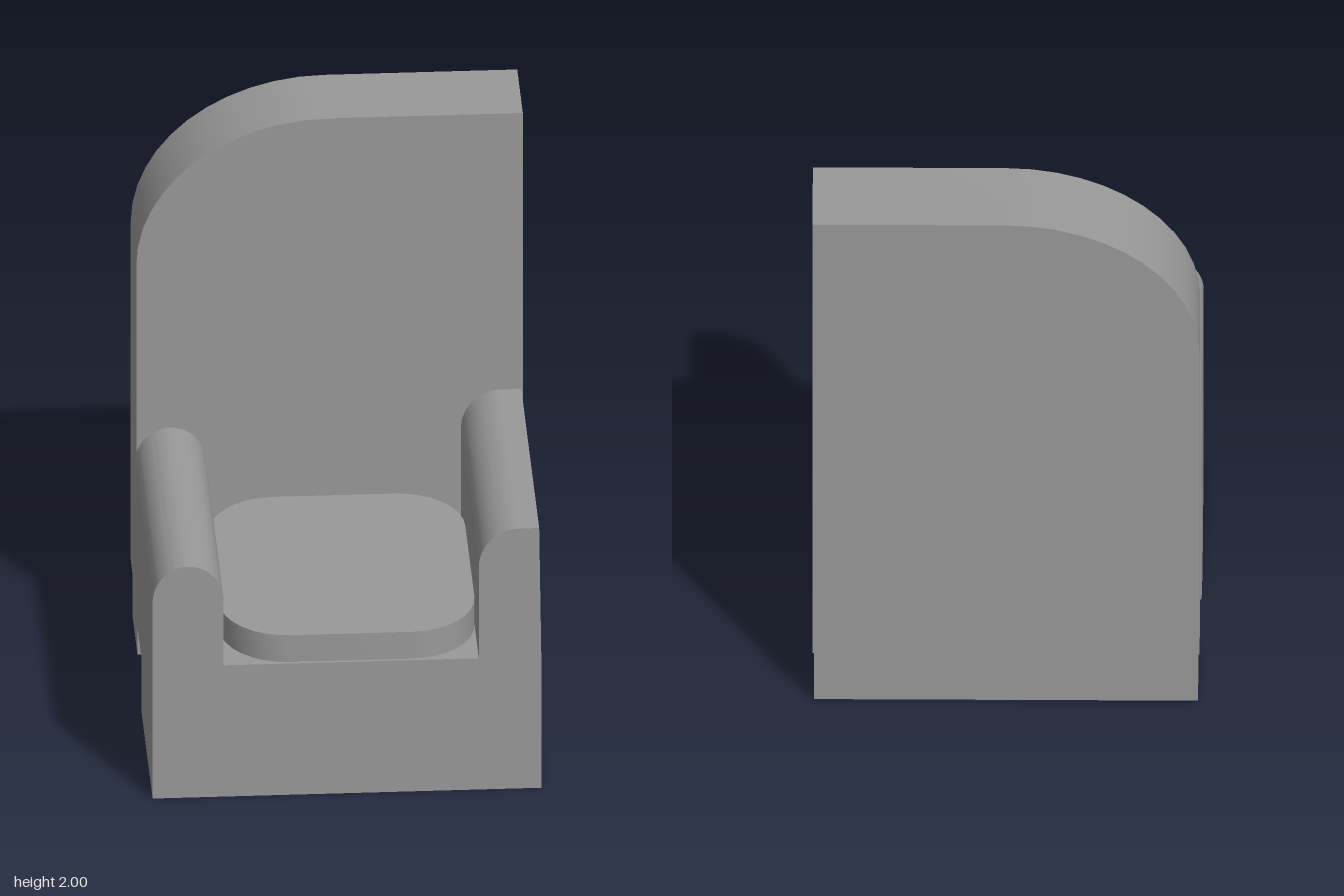
import * as THREE from 'three';
import { toCreasedNormals } from 'three/addons/utils/BufferGeometryUtils.js';

export function createModel() {
  const group = new THREE.Group();
  const grey = new THREE.MeshStandardMaterial({ color: 0x999999 });
  grey.name = 'grey';

  const add = (name, geometry) => {
    const mesh = new THREE.Mesh(geometry, grey);
    mesh.name = name;
    group.add(mesh);
    return mesh;
  };

  // Box given by its limits on each axis
  const box = (name, x0, x1, y0, y1, z0, z1) =>
    add(name, new THREE.BoxGeometry(x1 - x0, y1 - y0, z1 - z0))
      .position.set((x0 + x1) / 2, (y0 + y1) / 2, (z0 + z1) / 2);

  // Front profile pushed from z0 to z1, smooth on curves and sharp at corners
  const extrude = (name, shape, z0, z1, curveSegments) => {
    const geometry = new THREE.ExtrudeGeometry(shape, { depth: z1 - z0, bevelEnabled: false, curveSegments });
    geometry.translate(0, 0, z0);
    return add(name, toCreasedNormals(geometry, 0.6));
  };

  // Tall backrest with one rounded shoulder
  const back = new THREE.Shape();
  back.moveTo(-0.64, 0.21);
  back.lineTo(0.64, 0.21);
  back.lineTo(0.64, 2);
  back.lineTo(0, 2);
  back.absellipse(0, 1.47, 0.64, 0.53, Math.PI / 2, Math.PI, false);
  extrude('backrest', back, -0.65, -0.34, 6);

  // Seat base
  box('seatBase', -0.645, 0.642, 0.2, 0.49, -0.34, 0.65);

  // Low arm with a fully rounded top
  const lowArm = new THREE.Shape();
  lowArm.moveTo(-0.645, 0.49);
  lowArm.lineTo(-0.41, 0.49);
  lowArm.lineTo(-0.41, 0.73);
  lowArm.absellipse(-0.5275, 0.73, 0.1175, 0.132, 0, Math.PI, false);
  extrude('rightArm', lowArm, -0.34, 0.65, 20);

  // Taller arm, rounded only on its inner edge
  const tallArm = new THREE.Shape();
  tallArm.moveTo(0.435, 0.49);
  tallArm.lineTo(0.642, 0.49);
  tallArm.lineTo(0.635, 0.97);
  tallArm.lineTo(0.57, 0.97);
  tallArm.absellipse(0.57, 0.83, 0.135, 0.14, Math.PI / 2, Math.PI, false);
  extrude('leftArm', tallArm, -0.34, 0.65, 12);

  // Seat cushion with rounded corners
  const cushion = new THREE.Shape();
  const [cx, cy, hx, hy, rx, ry] = [0.0125, -0.153, 0.4225, 0.492, 0.22, 0.24];
  [[1, 1], [-1, 1], [-1, -1], [1, -1]].forEach(([sx, sy], i) => {
    const a = i * Math.PI / 2;
    cushion.absellipse(cx + sx * (hx - rx), cy + sy * (hy - ry), rx, ry, a, a + Math.PI / 2, false);
  });
  const cushionGeometry = new THREE.ExtrudeGeometry(cushion, { depth: 0.1, bevelEnabled: false, curveSegments: 4 });
  cushionGeometry.rotateX(-Math.PI / 2);
  cushionGeometry.translate(0, 0.493, 0);
  add('seatCushion', toCreasedNormals(cushionGeometry, 0.6));

  // Plinth feet, front and back
  box('frontFoot', -0.645, 0.642, 0, 0.2, 0.02, 0.65);
  box('backFoot', -0.635, 0.635, 0.01, 0.215, -0.64, -0.355);

  return group;
}
